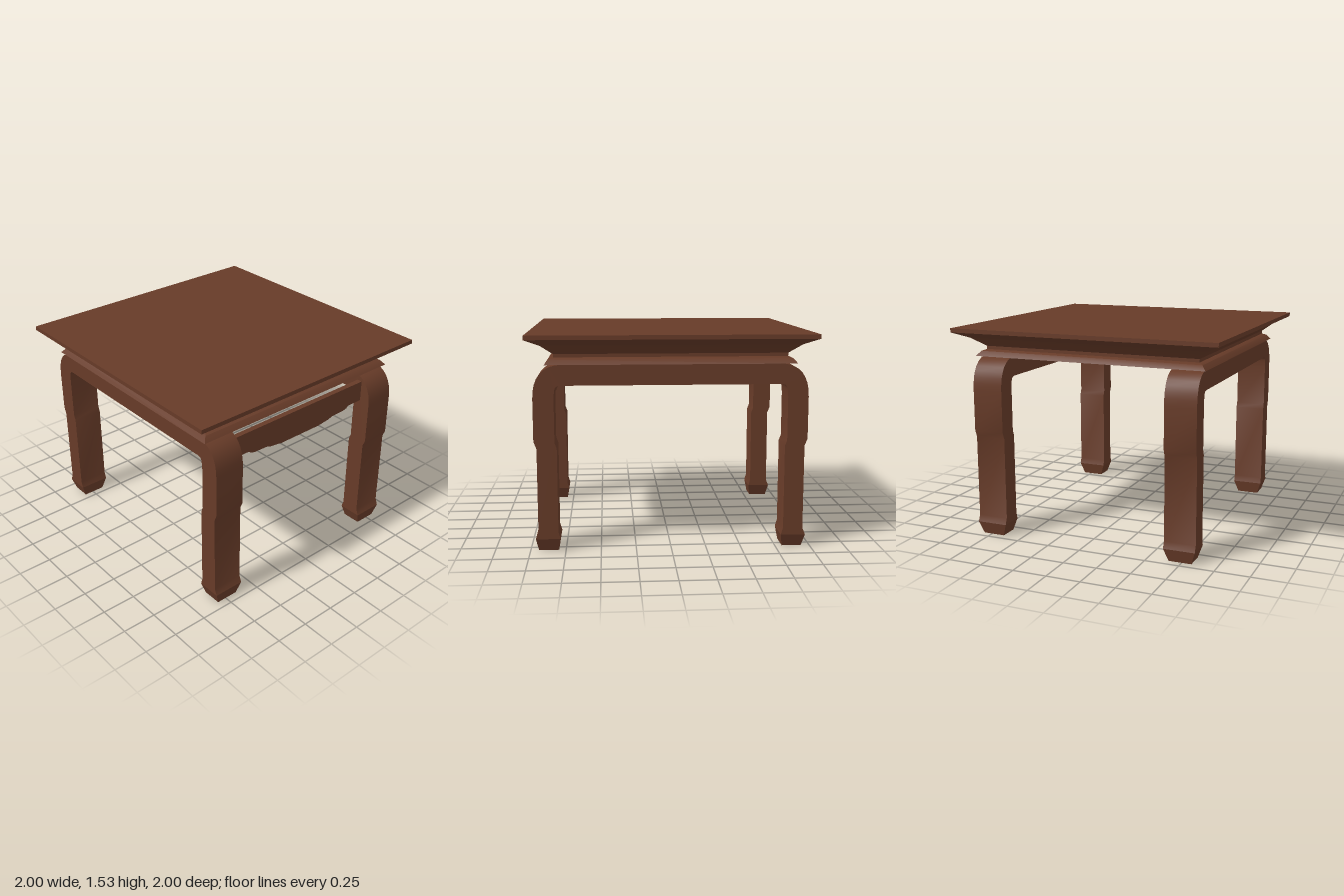
import * as THREE from 'three';
import { toCreasedNormals } from 'three/addons/utils/BufferGeometryUtils.js';

const INNER = 0.62, OUTER = 0.85;

const wood = new THREE.MeshStandardMaterial({ color: 0x673b28 });
wood.name = 'brown wood';

function part(name, geometry, crease = 0.75) {
  const mesh = new THREE.Mesh(toCreasedNormals(geometry, crease), wood);
  mesh.name = name;
  return mesh;
}

// Square moulding: [half width, height] profile swept round four sides
function squareTurned(profile) {
  const points = profile.map(([r, y]) => new THREE.Vector2(r * Math.SQRT2, y));
  return new THREE.LatheGeometry(points, 4, Math.PI / 4);
}

// Side profile in (z, y), extruded across x from INNER to OUTER
function extrudeAcross(shape) {
  const geometry = new THREE.ExtrudeGeometry(shape, {
    depth: OUTER - INNER, bevelEnabled: false, curveSegments: 8,
  });
  return geometry.rotateY(-Math.PI / 2).translate(OUTER, 0, 0);
}

// Arched pair of legs with the rail joining them
function archShape() {
  const s = new THREE.Shape();
  s.moveTo(0.96, 0.09);
  s.lineTo(0.94, 0.14);
  s.lineTo(0.94, 0.74);
  s.lineTo(0.96, 0.79);
  s.lineTo(0.96, 1.09);
  s.bezierCurveTo(0.96, 1.23, 0.9, 1.325, 0.75, 1.325);
  s.lineTo(-0.75, 1.325);
  s.bezierCurveTo(-0.9, 1.325, -0.96, 1.23, -0.96, 1.09);
  s.lineTo(-0.96, 0.79);
  s.lineTo(-0.94, 0.74);
  s.lineTo(-0.94, 0.14);
  s.lineTo(-0.96, 0.09);
  s.lineTo(-0.785, 0.09);
  s.lineTo(-0.8, 0.14);
  s.lineTo(-0.8, 0.74);
  s.lineTo(-0.815, 0.78);
  s.lineTo(-0.815, 1.09);
  s.bezierCurveTo(-0.81, 1.16, -0.81, 1.18, -0.765, 1.18);
  s.lineTo(0.765, 1.18);
  s.bezierCurveTo(0.81, 1.18, 0.81, 1.16, 0.815, 1.09);
  s.lineTo(0.815, 0.78);
  s.lineTo(0.8, 0.74);
  s.lineTo(0.8, 0.14);
  s.lineTo(0.785, 0.09);
  s.closePath();
  return s;
}

// Foot block tapering towards the floor
function footGeometry(side) {
  const outline = [[0.8, 0], [0.94, 0], [0.96, 0.09], [0.785, 0.09]];
  const geometry = extrudeAcross(
    new THREE.Shape(outline.map(([z, y]) => new THREE.Vector2(z * side, y))));
  const p = geometry.attributes.position;
  for (let i = 0; i < p.count; i++) {
    if (p.getY(i) < 0.01) p.setX(i, p.getX(i) > 0.73 ? 0.815 : 0.65);
  }
  return geometry;
}

// Front apron with a stepped, scalloped lower edge
function apronGeometry() {
  const edge = [[0.64, 1.11], [0.49, 1.11], [0.475, 1.095], [0.44, 1.086],
    [0.32, 1.082], [0.285, 1.07], [0.18, 1.057]];
  const lower = [...edge.map(([x, y]) => [-x, y]), ...edge.reverse()];
  const outline = [...lower, [0.64, 1.267], [-0.64, 1.267]];
  const shape = new THREE.Shape(outline.map(([x, y]) => new THREE.Vector2(x, y)));
  return new THREE.ExtrudeGeometry(shape, { depth: 0.04, bevelEnabled: false })
    .translate(0, 0, 0.835);
}

export function createModel() {
  const table = new THREE.Group();
  table.name = 'table';

  // Top slab with coved underside, and the moulding below it
  table.add(part('tabletop', squareTurned([
    [0, 1.37], [0.815, 1.37], [0.815, 1.395], [0.9, 1.46], [1, 1.505], [1, 1.535], [0, 1.535],
  ]), 0.6));
  table.add(part('lowerMoulding', squareTurned([
    [0, 1.325], [0.875, 1.325], [0.845, 1.36], [0.815, 1.372], [0, 1.372],
  ]), 0.6));

  // Both arched sides; the profile is symmetric, so a shift mirrors it
  for (const side of [1, -1]) {
    const frame = new THREE.Group();
    frame.name = side > 0 ? 'leftSideFrame' : 'rightSideFrame';
    frame.add(part('legArch', extrudeAcross(archShape())));
    frame.add(part('frontFoot', footGeometry(1)));
    frame.add(part('backFoot', footGeometry(-1)));
    if (side < 0) frame.position.x = -(INNER + OUTER);
    table.add(frame);
  }

  table.add(part('frontApron', apronGeometry()));
  return table;
}
